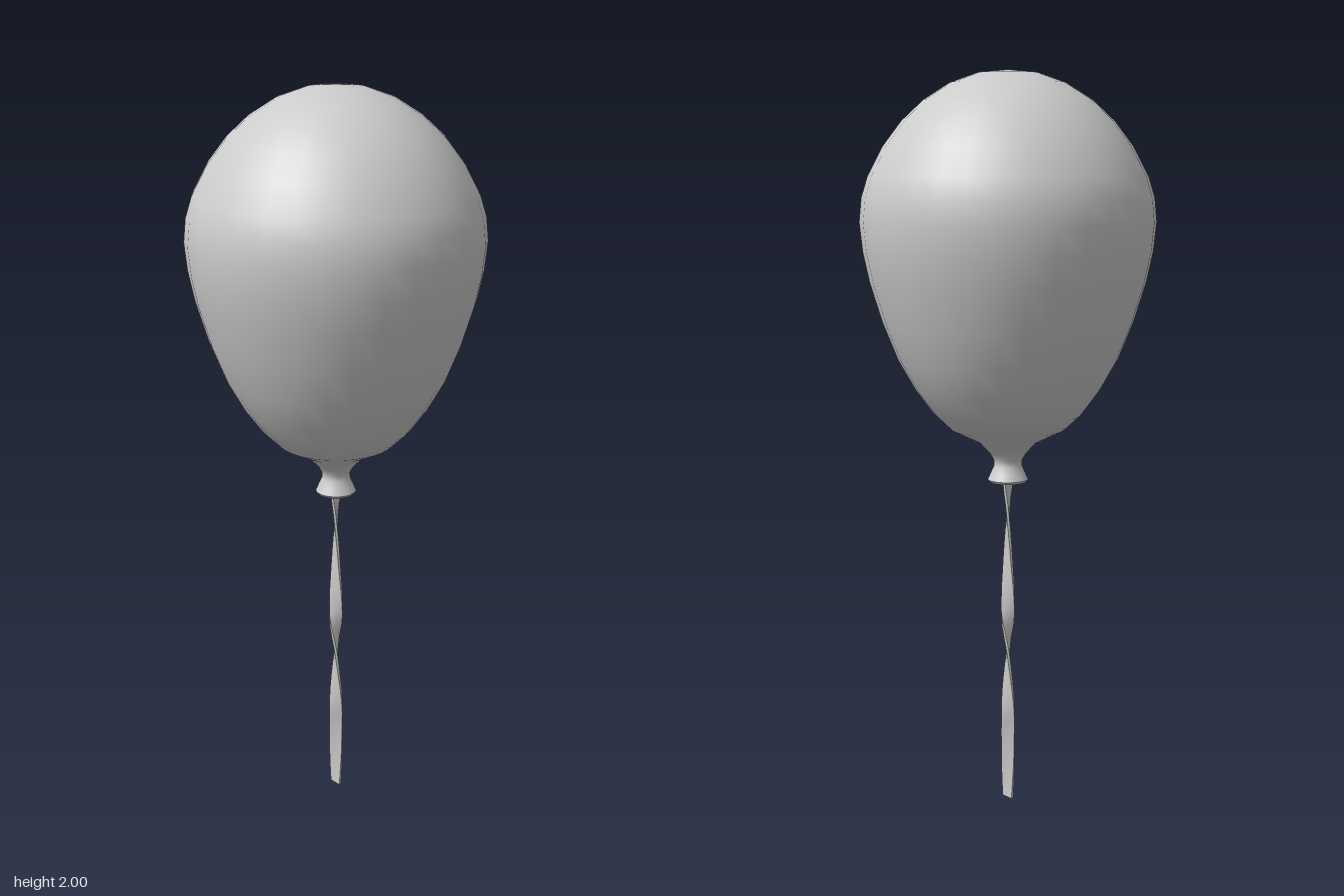
import * as THREE from 'three';

const material = new THREE.MeshStandardMaterial({ color: 0xcccccc });

function lathe(name, profile) {
  const points = profile.map(([r, y]) => new THREE.Vector2(r, y));
  const mesh = new THREE.Mesh(new THREE.LatheGeometry(points, 32), material);
  mesh.name = name;
  return mesh;
}

// Twist of the ribbon, as [height, degrees about y]
const twist = [[0, -180], [0.11, -208], [0.23, -225], [0.33, -180], [0.44, -135],
  [0.5, -90], [0.54, -45], [0.66, 0], [0.76, 25], [0.84, 50], [0.92, 85]];

function twistAt(y) {
  let i = 0;
  while (i < twist.length - 2 && y > twist[i + 1][0]) i++;
  const [y0, a0] = twist[i], [y1, a1] = twist[i + 1];
  return THREE.MathUtils.degToRad(THREE.MathUtils.mapLinear(y, y0, y1, a0, a1));
}

// Thin strip, each row turned about its centre line
function createRibbon() {
  const height = 0.92;
  const strip = new THREE.BoxGeometry(0.037, height, 0.007, 1, 24, 1);
  strip.translate(0, height / 2, 0);
  const p = strip.attributes.position;
  for (let i = 0; i < p.count; i++) {
    const x = p.getX(i), z = p.getZ(i), a = twistAt(p.getY(i));
    p.setX(i, x * Math.cos(a) - z * Math.sin(a));
    p.setZ(i, x * Math.sin(a) + z * Math.cos(a));
  }
  strip.computeVertexNormals();
  const mesh = new THREE.Mesh(strip, material);
  mesh.name = 'ribbon';
  return mesh;
}

export function createModel() {
  const group = new THREE.Group();
  group.name = 'balloon';

  // Flared lip, neck and inflated body in one smooth skin
  group.add(lathe('balloonBody', [
    [0.055, 0.912], [0.047, 0.93], [0.038, 0.95], [0.038, 0.965], [0.05, 0.985], [0.08, 1.015],
    [0.155, 1.052], [0.203, 1.098], [0.25, 1.162], [0.295, 1.242], [0.335, 1.342],
    [0.368, 1.45], [0.385, 1.53], [0.393, 1.607], [0.387, 1.67], [0.37, 1.725],
    [0.33, 1.802], [0.28, 1.868], [0.222, 1.922], [0.153, 1.966], [0.08, 1.992], [0, 2],
  ]));

  // Hollow underside of the lip
  group.add(lathe('lipUnderside', [
    [0, 0.93], [0.022, 0.925], [0.04, 0.908], [0.05, 0.905], [0.055, 0.912],
  ]));

  group.add(createRibbon());
  return group;
}
